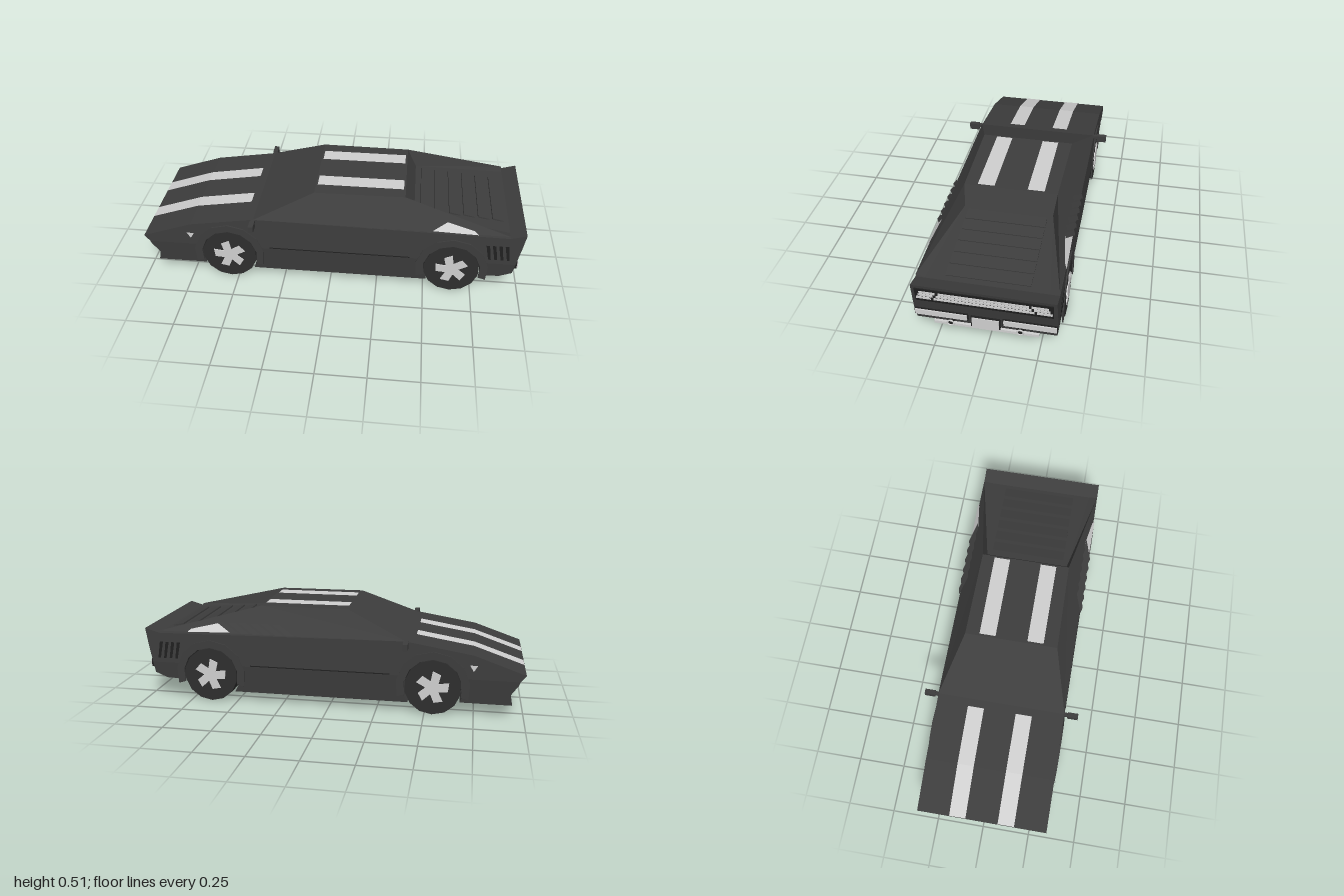
import * as THREE from 'three';

const mat = (name, color, extra = {}) => new THREE.MeshStandardMaterial({ name, color, ...extra });

export function createModel() {
  const car = new THREE.Group();
  car.name = 'sportsCar';
  const paint = mat('charcoalPaint', 0x3d3d3d, { flatShading: true });
  const rubber = mat('blackRubber', 0x2e2e2e, { flatShading: true });
  const trim = mat('darkTrim', 0x202020, { flatShading: true });
  const silver = mat('silver', 0xd0d0d0, { flatShading: true, side: THREE.DoubleSide });

  const add = (name, geometry, material, x = 0, y = 0, z = 0, parent = car) => {
    const mesh = new THREE.Mesh(geometry, material);
    mesh.name = name;
    mesh.position.set(x, y, z);
    parent.add(mesh);
    return mesh;
  };
  const box = (name, m, w, h, d, x, y, z) => add(name, new THREE.BoxGeometry(w, h, d), m, x, y, z);
  const shapeOf = pts => new THREE.Shape(pts.map(p => new THREE.Vector2(p[0], p[1])));

  // Side profile extruded across the car, with half width depending on height
  const slab = (name, pts, halfWidth) => {
    const g = new THREE.ExtrudeGeometry(shapeOf(pts), { depth: 1, bevelEnabled: false });
    const p = g.attributes.position;
    for (let i = 0; i < p.count; i++) p.setZ(i, (p.getZ(i) - 0.5) * 2 * halfWidth(p.getY(i)));
    g.computeVertexNormals();
    return add(name, g, paint);
  };
  // Flat polygons given as corner lists, counter-clockwise from outside
  const faces = (name, polys, material) => {
    const v = [];
    for (const q of polys)
      for (let i = 1; i < q.length - 1; i++) v.push(...q[0], ...q[i], ...q[i + 1]);
    const g = new THREE.BufferGeometry();
    g.setAttribute('position', new THREE.Float32BufferAttribute(v, 3));
    g.computeVertexNormals();
    return add(name, g, material);
  };
  const flip = p => [p[0], p[1], -p[2]];
  const mirrored = poly => poly.map(flip).reverse();

  // Wheel arches
  const axles = [-0.54, 0.64], hubY = 0.145, archR = 0.157;
  const arc = (cx, a0, a1, n = 8, r = archR) => Array.from({ length: n + 1 }, (_, i) => {
    const a = a0 + (a1 - a0) * i / n;
    return [cx + r * Math.cos(a), hubY + r * Math.sin(a)];
  });
  const at = y => Math.asin((y - hubY) / archR);
  const split = 0.2, aS = at(split);

  // Upper and lower body
  slab('upperBody', [
    [-1, 0.235], [-0.972, 0.2],
    ...arc(axles[0], Math.PI - aS, aS), ...arc(axles[1], Math.PI - aS, aS),
    [0.965, 0.2], [0.985, 0.3], [1, 0.385], [0.92, 0.362], [0.38, 0.37], [-0.4, 0.38], [-0.74, 0.325],
  ], y => 0.341 - (y - split) * 0.03);
  const skirt = y => 0.341 - (split - y) * 0.1;
  slab('noseSkirt', [[-0.972, 0.2], [-0.965, 0.18], [-0.928, 0.125], [-0.94, 0.07],
    ...arc(axles[0], Math.PI - at(0.07), Math.PI - aS, 4)], skirt);
  slab('sill', [...arc(axles[0], aS, at(0.053), 4),
    ...arc(axles[1], Math.PI - at(0.053), Math.PI - aS, 4)], skirt);
  slab('tailSkirt', [...arc(axles[1], aS, at(0.11), 4), [0.89, 0.112], [0.955, 0.14], [0.965, 0.2]], skirt);
  box('frontFloor', paint, 0.45, 0.16, 0.4, -0.54, 0.14, 0);
  box('rearFloor', paint, 0.45, 0.16, 0.36, 0.64, 0.135, 0);

  // Cabin with sunken rear deck between two buttresses
  const A = [-0.4, 0.38, 0.337], B = [-0.09, 0.511, 0.245], C = [0.38, 0.511, 0.238];
  const T = [0.92, 0.374, 0.335], F = [0.43, 0.415, 0.225], D = [0.92, 0.366, 0.29];
  const sides = [[A, T, C], [A, C, B], [C, T, F], [F, T, D]];
  const across = (p, q) => [flip(p), p, q, flip(q)];
  faces('cabin', [...sides, ...sides.map(mirrored),
    across(A, B), across(B, C), across(C, F), across(F, D)], paint);
  for (let i = 0; i < 6; i++) {
    const x = 0.49 + i * 0.075;
    const slat = box('deckLouvre', paint, 0.06, 0.008, 0.4, x, 0.415 - (x - 0.43) * 0.1 + 0.004, 0);
    slat.rotation.z = -0.22;
  }

  // Paired stripes on bonnet and roof
  const stripe = (name, path) => {
    const polys = [];
    for (const s of [-1, 1])
      for (let i = 0; i < path.length - 1; i++) {
        const [p, q] = [path[i], path[i + 1]], a = s * 0.1275 - 0.043, b = a + 0.086;
        polys.push([[...p, a], [...p, b], [...q, b], [...q, a]]);
      }
    faces(name, polys, silver);
  };
  stripe('bonnetStripes', [[-0.998, 0.239], [-0.74, 0.328], [-0.44, 0.377]]);
  stripe('roofStripes', [[-0.08, 0.514], [0.37, 0.514]]);

  // Details repeated on both flanks
  const cabinZ = y => 0.339 - (y - 0.375) * 0.72 + 0.004;
  for (const s of [-1, 1]) {
    const flank = (name, pts, m, z) => {
      let poly = pts.map(([x, y]) => [x, y, z ? z : cabinZ(y)]);
      return faces(name, [s > 0 ? poly : mirrored(poly)], m);
    };
    flank('quarterWindow', [[0.525, 0.382], [0.76, 0.377], [0.74, 0.392], [0.575, 0.428]], silver);
    flank('sideMarker', [[-0.742, 0.242], [-0.722, 0.275], [-0.762, 0.275]], silver, 0.345);
    for (let i = 0; i < 4; i++) {
      const x = 0.81 + i * 0.032;
      flank('sideVent', [[x + 0.012, 0.225], [x + 0.026, 0.225], [x + 0.012, 0.315], [x - 0.006, 0.315]], trim, 0.3425);
    }
    // Raised louvres on the buttress
    for (let i = 0; i < 6; i++) {
      const x = 0.18 + i * 0.06, p = [x, 0.38, cabinZ(0.38)], q = [x + 0.09, 0.43, cabinZ(0.43)];
      const lift = ([a, b, c], d) => [a + d, b, c + 0.009];
      const fin = [[p, lift(p, 0.035), lift(q, 0.035), q],
        [lift(p, 0.035), [p[0] + 0.04, p[1], p[2] - 0.004], [q[0] + 0.04, q[1], q[2] - 0.004], lift(q, 0.035)]];
      faces('sideLouvre', s > 0 ? fin : fin.map(mirrored), paint);
    }
    box('beltLine', trim, 0.74, 0.005, 0.004, 0.05, 0.205, s * 0.341);

    // Door mirror
    box('mirrorArm', paint, 0.02, 0.016, 0.03, -0.4, 0.372, s * 0.347);
    box('mirror', paint, 0.026, 0.036, 0.055, -0.4, 0.366, s * 0.381);

    // Wheels, arch flares and pinwheel hubs
    for (const x of axles) {
      const tyre = add('tyre', new THREE.CylinderGeometry(0.145, 0.145, 0.135, 14), rubber, x, hubY, s * 0.272);
      tyre.rotation.x = Math.PI / 2;
      const flare = shapeOf([...arc(x, -0.3, Math.PI + 0.3, 8, 0.19), ...arc(x, Math.PI + 0.3, -0.3, 8, 0.15)]);
      add('archFlare', new THREE.ExtrudeGeometry(flare, { depth: 0.007, bevelEnabled: false }), paint,
        0, 0, s > 0 ? 0.337 : -0.344);
      const star = [];
      for (let i = 0; i < 5; i++)
        for (const [r, da] of [[0.036, 0], [0.088, 0.3], [0.08, 0.85]]) {
          const a = i * Math.PI * 0.4 + da;
          star.push([r * Math.cos(a), r * Math.sin(a)]);
        }
      add('hub', new THREE.ExtrudeGeometry(shapeOf(star), { depth: 0.006, bevelEnabled: false }), silver,
        x, hubY, s > 0 ? 0.339 : -0.345);
    }

    // Lamps, exhausts and underside rails
    const frame = box('headlampFrame', trim, 0.008, 0.052, 0.13, -0.947, 0.153, s * 0.23);
    const lamp = box('headlamp', silver, 0.008, 0.034, 0.105, -0.951, 0.152, s * 0.23);
    frame.rotation.z = lamp.rotation.z = 0.59;
    box('tailLampFrame', trim, 0.014, 0.042, 0.256, 0.966, 0.195, s * 0.21);
    box('tailLamp', silver, 0.022, 0.03, 0.248, 0.968, 0.195, s * 0.21);
    const pipe = add('exhaustRing', new THREE.TorusGeometry(0.015, 0.004, 6, 14), silver, 0.982, 0.155, s * 0.165);
    pipe.rotation.y = Math.PI / 2;
    const tube = add('exhaustPipe', new THREE.CylinderGeometry(0.014, 0.014, 0.06, 12), trim, 0.95, 0.155, s * 0.165);
    tube.rotation.z = Math.PI / 2;
    box('sillRail', silver, 0.7, 0.008, 0.014, 0.05, 0.05, s * 0.27);
  }

  // Tail panel, grille bars, plate and bumpers
  const panel = box('tailGrille', trim, 0.008, 0.088, 0.64, 0.99, 0.325, 0);
  panel.rotation.z = -0.17;
  [[0.308, 0.315], [0.328, 0.305], [0.347, 0.298]].forEach(([y, half]) => {
    const x = 0.99 + (y - 0.325) * 0.17 + 0.003;
    box('grilleBar', silver, 0.01, 0.012, half * 2, x, y, 0);
    for (const s of [-1, 1]) {
      box('grilleClip', trim, 0.012, 0.014, 0.012, x, y, s * (0.215 + (0.347 - y) * 0.6));
    }
  });
  box('plateFrame', trim, 0.014, 0.066, 0.138, 0.966, 0.175, 0);
  box('plate', silver, 0.02, 0.056, 0.128, 0.967, 0.173, 0);
  box('rearBumperBar', silver, 0.02, 0.015, 0.5, 0.955, 0.129, 0);
  box('frontSplitter', silver, 0.016, 0.016, 0.5, -0.89, 0.062, 0);
  return car;
}
